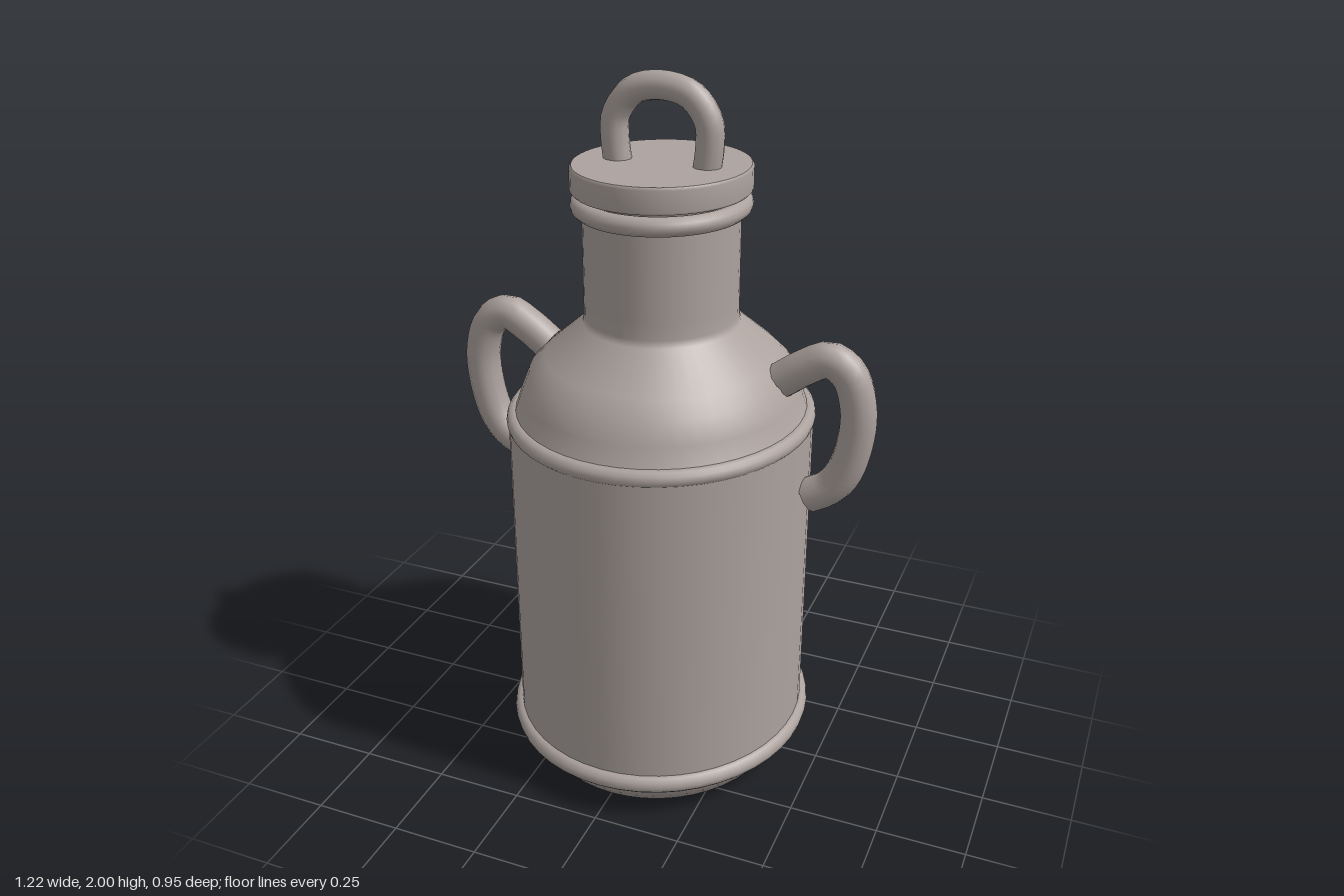
import * as THREE from 'three';

export function createModel() {
  const model = new THREE.Group();
  model.name = 'milkCan';
  const metal = new THREE.MeshStandardMaterial({ color: 0xaca29e });
  metal.name = 'warm grey metal';

  const add = (parent, name, geometry) => {
    const mesh = new THREE.Mesh(geometry, metal);
    mesh.name = name;
    parent.add(mesh);
    return mesh;
  };

  // The round parts are slightly narrower across x than along z
  const can = new THREE.Group();
  can.name = 'can';
  can.scale.x = 0.937;
  model.add(can);

  const lathe = (name, pts) =>
    add(can, name, new THREE.LatheGeometry(pts.map(p => new THREE.Vector2(...p)), 48));
  lathe('base', [[0, 0], [0.385, 0], [0.405, 0.04], [0.425, 0.09], [0.45, 0.1]]);
  lathe('body', [[0.45, 0.1], [0.45, 1.06]]);
  lathe('shoulder', [[0.45, 1.06], [0.43, 1.085], [0.41, 1.14], [0.385, 1.2], [0.34, 1.243], [0.228, 1.335],
    [0.223, 1.355], [0.223, 1.4]]);
  lathe('neck', [[0.223, 1.4], [0.223, 1.7]]);

  // Rolled hoops: centre radius, tube radius, height
  const hoop = (name, radius, tube, y) => {
    const mesh = add(can, name, new THREE.TorusGeometry(radius, tube, 12, 48));
    mesh.rotation.x = Math.PI / 2;
    mesh.position.y = y;
  };
  hoop('bottomHoop', 0.447, 0.027, 0.108);
  hoop('shoulderHoop', 0.431, 0.025, 1.064);
  hoop('neckHoop', 0.229, 0.026, 1.66);

  // Lid disc with a tiny bevel, faces kept crisp
  lathe('lidUnderside', [[0, 1.695], [0.249, 1.695]]);
  lathe('lidRim', [[0.249, 1.695], [0.255, 1.702], [0.255, 1.758], [0.249, 1.765]]);
  lathe('lidTop', [[0.249, 1.765], [0, 1.765]]);

  // Bent rod with closed ends
  const rod = (name, pts, radius, sides) => {
    const curve = new THREE.CatmullRomCurve3(pts.map(([x, y]) => new THREE.Vector3(x, y, 0)));
    const group = new THREE.Group();
    group.name = name;
    add(group, name + 'Rod', new THREE.TubeGeometry(curve, 28, radius, sides));
    for (const t of [0, 1]) {
      const cap = add(group, name + 'End', new THREE.CircleGeometry(radius, sides));
      const out = curve.getTangent(t).multiplyScalar(t ? 1 : -1);
      cap.position.copy(curve.getPoint(t));
      cap.quaternion.setFromUnitVectors(new THREE.Vector3(0, 0, 1), out);
    }
    model.add(group);
  };

  // Side handles
  for (const [side, name] of [[1, 'leftHandle'], [-1, 'rightHandle']]) {
    const path = [[0.345, 1.208], [0.415, 1.258], [0.475, 1.286], [0.53, 1.252], [0.56, 1.16],
      [0.556, 1.06], [0.53, 0.965], [0.495, 0.915], [0.435, 0.878]];
    rod(name, path.map(([x, y]) => [x * side, y]), 0.05, 12);
  }

  // Lid handle
  rod('lidHandle', [[-0.122, 1.74], [-0.132, 1.82], [-0.128, 1.88], [-0.08, 1.943], [0, 1.962],
    [0.08, 1.943], [0.128, 1.88], [0.132, 1.82], [0.122, 1.74]], 0.038, 12);

  return model;
}
